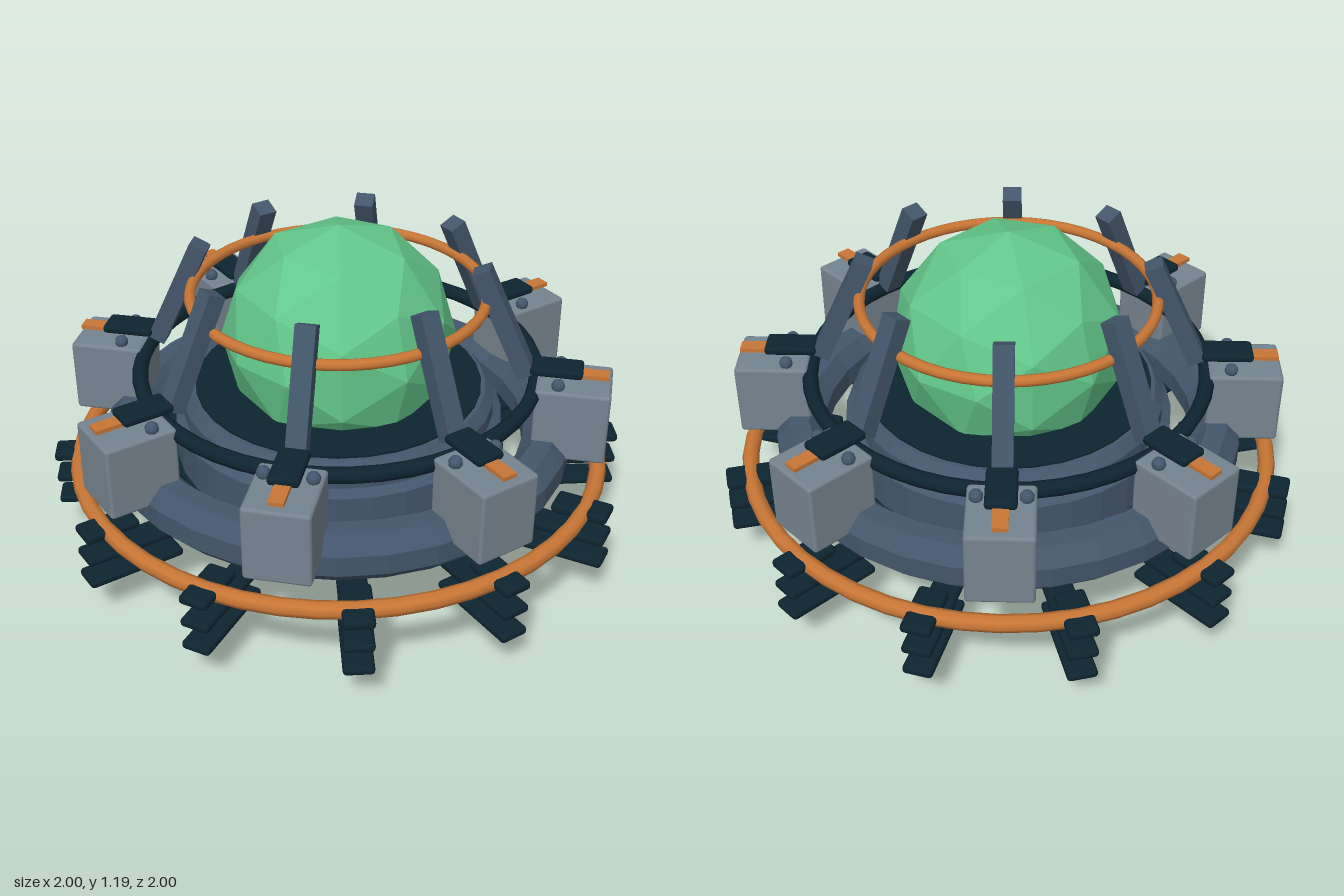
import * as THREE from 'three';
import { RoundedBoxGeometry } from 'three/addons/geometries/RoundedBoxGeometry.js';

const mat = (name, color, flatShading = false) => {
  const m = new THREE.MeshStandardMaterial({ color, flatShading });
  m.name = name;
  return m;
};

export function createModel() {
  const slate = mat('slate', 0x43566b, true);
  const dark = mat('dark navy', 0x0d2430);
  const copper = mat('copper', 0xc87635);
  const grey = mat('grey', 0x75838f);
  const green = mat('green crystal', 0x63c78a, true);

  const model = new THREE.Group();
  model.name = 'reactor';

  const add = (parent, name, geometry, material, x = 0, y = 0, z = 0) => {
    const mesh = new THREE.Mesh(geometry, material);
    mesh.name = name;
    mesh.position.set(x, y, z);
    parent.add(mesh);
    return mesh;
  };
  const lathe = (points, segments) =>
    new THREE.LatheGeometry(points.map(([r, y]) => new THREE.Vector2(r, y)), segments);
  const ring = (name, radius, tube, y, material, sides = 8) => {
    const g = new THREE.TorusGeometry(radius, tube, sides, 48).rotateX(Math.PI / 2);
    return add(model, name, g, material, 0, y, 0);
  };
  // Repeats a radial group whose +x axis points outwards
  const radial = (name, count, build) => {
    for (let i = 0; i < count; i++) {
      const g = new THREE.Group();
      g.name = name;
      g.rotation.y = (i / count) * Math.PI * 2;
      build(g);
      model.add(g);
    }
  };

  // Hull bowl: lower half of a flattened sphere, closed by a deck
  const bowl = [];
  for (let i = 0; i <= 10; i++) {
    const a = (i / 10) * Math.PI / 2;
    bowl.push([0.59 * Math.sin(a), 0.33 - 0.32 * Math.cos(a)]);
  }
  add(model, 'bowl', lathe(bowl, 32), dark);
  add(model, 'bowlDeck', new THREE.CylinderGeometry(0.585, 0.59, 0.04, 32), dark, 0, 0.35, 0);

  // Stepped core with a dark socket for the crystal
  add(model, 'core', lathe([
    [0.57, 0.36], [0.57, 0.51], [0.54, 0.53], [0.54, 0.58], [0.51, 0.615], [0.48, 0.615],
  ], 32), slate);
  add(model, 'socket', new THREE.CylinderGeometry(0.495, 0.495, 0.04, 32), dark, 0, 0.602, 0);
  add(model, 'crystalDome', new THREE.IcosahedronGeometry(0.4, 1), green, 0, 0.8, 0);

  // Eight-sided heavy ring around the core
  const section = [];
  for (let i = 0; i <= 8; i++) {
    const a = ((i + 0.5) / 8) * Math.PI * 2;
    section.push([0.73 + 0.088 * Math.cos(a), 0.43 + 0.095 * Math.sin(a)]);
  }
  add(model, 'heavyRing', lathe(section, 32), slate);

  ring('linkRing', 0.68, 0.027, 0.68, dark);
  ring('upperRing', 0.497, 0.019, 0.96, copper);
  ring('outerRing', 0.915, 0.029, 0.35, copper);

  // Power blocks with clamps, bolts and leaning posts
  const blockGeo = new RoundedBoxGeometry(0.25, 0.26, 0.216, 2, 0.012);
  const clampGeo = new RoundedBoxGeometry(0.175, 0.03, 0.1, 2, 0.012);
  const stripGeo = new THREE.BoxGeometry(0.17, 0.014, 0.05);
  const boltGeo = new THREE.SphereGeometry(0.023, 10, 8);
  const lean = new THREE.Vector2(-0.17, 0.37);
  const postGeo = new THREE.BoxGeometry(0.062, lean.length(), 0.066);
  radial('powerUnit', 8, (g) => {
    add(g, 'block', blockGeo, grey, 0.806, 0.58, 0);
    add(g, 'contactStrip', stripGeo, copper, 0.835, 0.733, 0);
    add(g, 'clamp', clampGeo, dark, 0.745, 0.745, 0);
    for (const s of [-1, 1]) add(g, 'bolt', boltGeo, slate, 0.755, 0.722, s * 0.077);
    const post = add(g, 'post', postGeo, slate, 0.56, 0.9, 0);
    post.rotation.z = Math.atan2(-lean.x, lean.y);
  });

  // Stacked cooling fins below the outer ring
  const finGeo = new RoundedBoxGeometry(0.34, 0.03, 0.1, 2, 0.013);
  const clipGeo = new RoundedBoxGeometry(0.19, 0.032, 0.1, 2, 0.013);
  radial('finStack', 12, (g) => {
    add(g, 'ringClip', clipGeo, dark, 0.905, 0.355, 0);
    for (const y of [0.265, 0.175]) add(g, 'fin', finGeo, dark, 0.83, y, 0);
  });

  return model;
}
